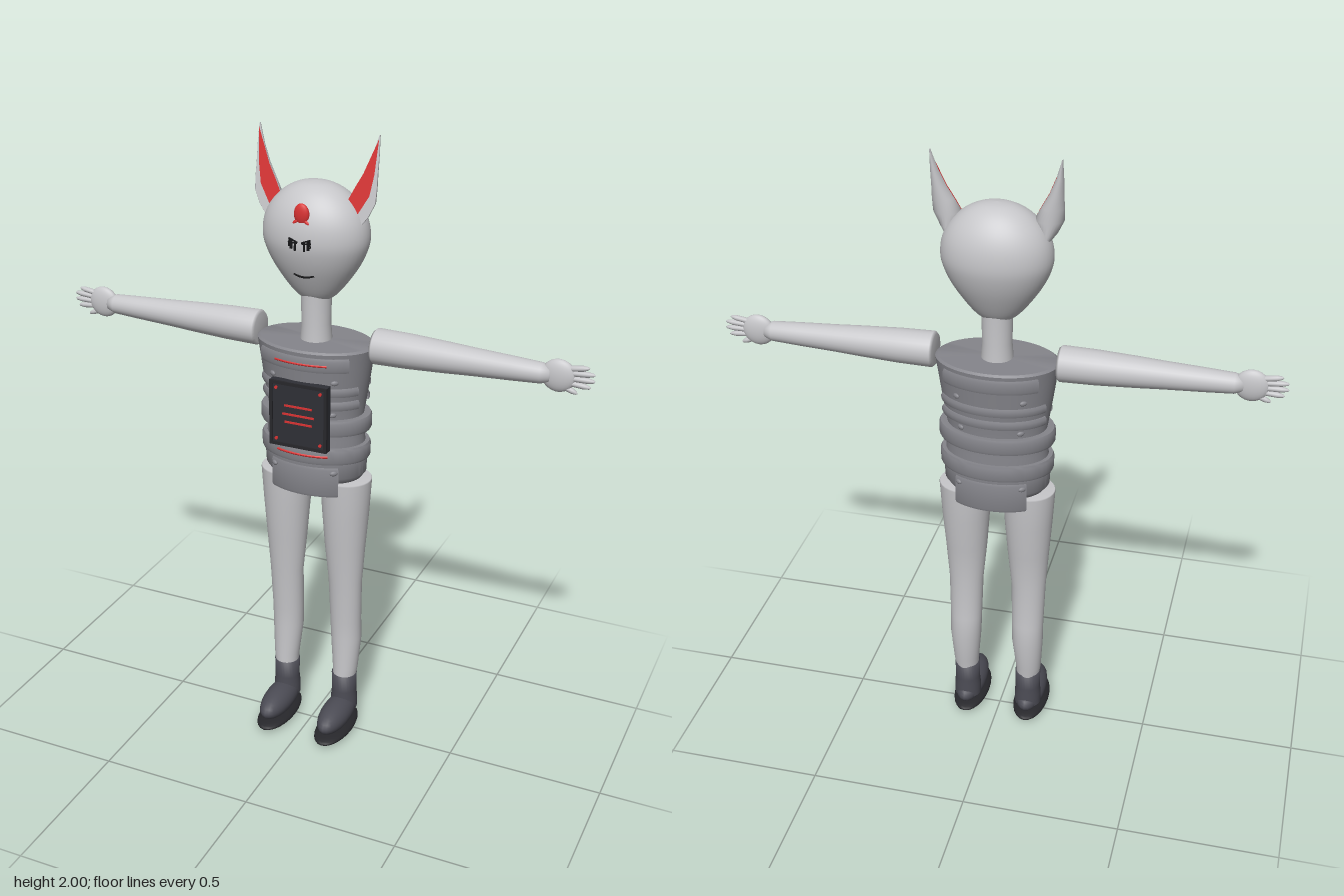
import * as THREE from 'three';
import { toCreasedNormals } from 'three/addons/utils/BufferGeometryUtils.js';

const mat = (name, color, side = THREE.FrontSide) => {
  const m = new THREE.MeshStandardMaterial({ color, side });
  m.name = name;
  return m;
};
const skin = mat('pale skin', 0xc6c6c9);
const suit = mat('grey suit', 0x85858b, THREE.DoubleSide);
const boot = mat('dark boot', 0x4c4c55);
const sole = mat('sole', 0x27272b);
const panelMat = mat('panel', 0x2f3036);
const red = mat('red', 0xd83232, THREE.DoubleSide);
const black = mat('black', 0x141416, THREE.DoubleSide);

const CZ = -0.035; // depth of the body axis
const DEPTH = 0.66; // torso depth relative to width

export function createModel() {
  const root = new THREE.Group();
  root.name = 'hornedFigure';

  const add = (name, geo, material, x = 0, y = 0, z = 0, parent = root) => {
    const m = new THREE.Mesh(geo, material);
    m.name = name;
    m.position.set(x, y, z);
    parent.add(m);
    return m;
  };
  const lathe = (pts, seg = 40, start = 0, length = Math.PI * 2) =>
    new THREE.LatheGeometry(pts.map(p => new THREE.Vector2(p[0], p[1])), seg, start, length);
  const ball = (rx, ry, rz) => new THREE.SphereGeometry(1, 24, 16).scale(rx, ry, rz);

  // Skin of elliptical rings; each section is [y, centreX, centreZ, halfX, halfZ]
  const loft = (sections, flatFront = false, seg = 28) => {
    const pos = [], idx = [];
    sections.forEach(([y, cx, cz, hx, hz], i) => {
      for (let j = 0; j < seg; j++) {
        const a = (j / seg) * Math.PI * 2;
        const dz = Math.sin(a);
        pos.push(cx + hx * Math.cos(a), y, cz + hz * (flatFront ? Math.min(0, dz) : dz));
        if (i === sections.length - 1) continue;
        const k = i * seg + j, n = i * seg + (j + 1) % seg;
        idx.push(k, k + seg, n, n, k + seg, n + seg);
      }
    });
    const g = new THREE.BufferGeometry();
    g.setAttribute('position', new THREE.Float32BufferAttribute(pos, 3));
    g.setIndex(idx);
    g.computeVertexNormals();
    return g;
  };

  // Head and neck
  const headCurve = new THREE.SplineCurve([[0, 1.49], [0.045, 1.5], [0.08, 1.53], [0.128, 1.595],
    [0.156, 1.65], [0.166, 1.695], [0.159, 1.745], [0.135, 1.79], [0.095, 1.828], [0.048, 1.85], [0, 1.856]]
    .map(p => new THREE.Vector2(...p)));
  const headPts = headCurve.getPoints(40).map(p => [Math.max(0, p.x), p.y]);
  add('head', lathe(headPts, 48).scale(1, 1, 0.72), skin, 0, 0, CZ);
  add('neck', lathe([[0.05, 1.35], [0.045, 1.42], [0.047, 1.52]], 28), skin, 0, 0, CZ);

  // Forehead gem with two small side lobes
  add('gem', ball(0.024, 0.032, 0.011), red, 0, 1.78, 0.069);
  for (const s of [1, -1]) {
    const lobe = add('gemLobe', ball(0.014, 0.006, 0.006), red, s * 0.018, 1.757, 0.071);
    lobe.rotation.z = -s * 0.6;
  }

  // Eyes with lashes and streaks, and a faint smile
  const strokes = [[0.006, 1.7, 0.034, 1.711, 0.004], [0.008, 1.697, 0.036, 1.7, 0.003],
    [0.014, 1.705, 0.015, 1.675, 0.005], [0.026, 1.708, 0.027, 1.68, 0.007], [0.032, 1.708, 0.034, 1.687, 0.003]];
  for (const s of [1, -1]) {
    const eye = new THREE.Group();
    eye.name = s > 0 ? 'leftEye' : 'rightEye';
    root.add(eye);
    for (const [x1, y1, x2, y2, w] of strokes) {
      const len = Math.hypot(x2 - x1, y2 - y1);
      const bar = add('eyeStroke', new THREE.BoxGeometry(len, w, 0.004), black,
        s * (x1 + x2) / 2, (y1 + y2) / 2, 0.085, eye);
      bar.rotation.z = s * Math.atan2(y2 - y1, x2 - x1);
    }
  }
  const smile = new THREE.QuadraticBezierCurve3(new THREE.Vector3(-0.032, 1.594, 0.053),
    new THREE.Vector3(0, 1.582, 0.062), new THREE.Vector3(0.032, 1.594, 0.053));
  add('mouth', new THREE.TubeGeometry(smile, 16, 0.003, 6), black);

  // Ears: flat-fronted tapering shells with red inner faces
  const earZ = y => -0.013 - (y - 1.78) * 0.17;
  for (const s of [1, -1]) {
    const rows = [[1.735, 0.14, 0.145], [1.77, 0.118, 0.172], [1.81, 0.106, 0.191], [1.85, 0.127, 0.192],
      [1.89, 0.149, 0.191], [1.94, 0.169, 0.191], [2.0, 0.187, 0.189]];
    const rings = rows.map(([y, a, b]) => [y, s * (a + b) / 2, earZ(y), (b - a) / 2, earZ(y) + 0.057]);
    add('ear', loft(rings, true), skin).material = skin;
    const inner = new THREE.Shape([[0.188, 1.99], [0.168, 1.94], [0.148, 1.89], [0.126, 1.85], [0.106, 1.81],
      [0.118, 1.77], [0.14, 1.775], [0.172, 1.83], [0.182, 1.89]].map(([x, y]) => new THREE.Vector2(s * x, y)));
    const g = new THREE.ShapeGeometry(inner), p = g.attributes.position;
    for (let i = 0; i < p.count; i++) p.setZ(i, earZ(p.getY(i)) + 0.003);
    g.computeVertexNormals();
    add('innerEar', g, red);
  }

  // Torso
  const torso = [[0, 0.9], [0.1, 0.905], [0.15, 0.925], [0.165, 0.945], [0.168, 1.0], [0.158, 1.07],
    [0.155, 1.14], [0.165, 1.2], [0.174, 1.26], [0.181, 1.31], [0.189, 1.362], [0.18, 1.368], [0, 1.37]];
  add('torso', toCreasedNormals(lathe(torso, 56).scale(1, 1, DEPTH), 0.6), suit, 0, 0, CZ);

  // Raised bands: full rings, or arcs facing front (0) or back (PI)
  const band = (name, y0, y1, r, half = Math.PI, facing = 0, material = suit) => {
    const b = Math.min(0.008, (y1 - y0) / 3);
    const pts = [[r - 0.03, y0], [r - 0.004, y0], [r, y0 + b], [r, y1 - b], [r - 0.004, y1], [r - 0.03, y1]];
    const g = lathe(pts, 48, facing - half, half * 2).scale(1, 1, DEPTH);
    return add(name, toCreasedNormals(g, 0.7), material, 0, 0, CZ);
  };
  band('waistBelt', 1.093, 1.143, 0.181);
  band('hipBelt', 0.997, 1.05, 0.178);
  for (const f of [0, Math.PI]) {
    band('chestBand', 1.305, 1.35, 0.194, 0.85, f);
    band('upperRib', 1.222, 1.25, 0.178, 1.15, f);
    band('lowerRib', 1.177, 1.205, 0.174, 1.2, f);
    band('hemFlap', 0.885, 0.985, 0.171, 0.72, f);
    // Studs on the ribs and hips
    for (const s of [1, -1]) for (const y of [1.27, 1.16, 0.968]) {
      const a = f + s * 0.62, r = y < 1 ? 0.172 : y > 1.2 ? 0.176 : 0.159;
      add('stud', ball(0.012, 0.008, 0.006), suit, Math.sin(a) * r, y, CZ + Math.cos(a) * r * DEPTH).rotation.y = a;
    }
  }
  band('chestStripe', 1.323, 1.332, 0.1965, 0.45, 0, red);
  band('hipStripe', 1.02, 1.029, 0.181, 0.49, 0, red);

  // Chest panel with frame, red lines and corner bolts
  add('chestPanel', new THREE.BoxGeometry(0.19, 0.212, 0.024), panelMat, 0, 1.16, 0.086);
  for (const s of [1, -1]) {
    add('panelFrameSide', new THREE.BoxGeometry(0.01, 0.212, 0.008), sole, s * 0.09, 1.16, 0.099);
    add('panelFrameEdge', new THREE.BoxGeometry(0.18, 0.01, 0.008), sole, 0, 1.16 + s * 0.101, 0.099);
    for (const t of [1, -1])
      add('panelBolt', new THREE.CylinderGeometry(0.005, 0.005, 0.006, 10).rotateX(Math.PI / 2), red,
        s * 0.073, 1.16 + t * 0.084, 0.1);
  }
  [[1.189, 0.09], [1.161, 0.105], [1.135, 0.09]].forEach(([y, w]) =>
    add('panelLine', new THREE.BoxGeometry(w, 0.006, 0.004), red, 0, y, 0.0995));

  for (const s of [1, -1]) {
    const side = s > 0 ? 'left' : 'right';

    // Arm and hand
    const arm = lathe([[0, 0.188], [0.048, 0.188], [0.055, 0.196], [0.053, 0.3], [0.047, 0.42],
      [0.042, 0.5], [0.036, 0.62], [0.031, 0.705], [0.022, 0.73], [0, 0.735]], 28);
    add(side + 'Arm', arm.rotateZ(-s * Math.PI / 2), skin, 0, 1.37, -0.04);
    const hand = new THREE.Group();
    hand.name = side + 'Hand';
    hand.position.z = -0.042;
    root.add(hand);
    add('palm', ball(0.051, 0.05, 0.02), skin, s * 0.753, 1.37, 0, hand);
    const fingers = [[0.78, 1.395, 0.842, 1.405], [0.785, 1.382, 0.86, 1.387], [0.785, 1.367, 0.861, 1.367],
      [0.78, 1.353, 0.85, 1.346], [0.755, 1.345, 0.812, 1.322]];
    for (const [x1, y1, x2, y2] of fingers) {
      const len = Math.hypot(x2 - x1, y2 - y1);
      const f = add('finger', lathe([[0, -len / 2], [0.009, -len / 2], [0.0085, len * 0.2], [0.005, len * 0.42], [0, len / 2]], 10),
        skin, s * (x1 + x2) / 2, (y1 + y2) / 2, 0, hand);
      f.rotation.z = s * (Math.atan2(y2 - y1, x2 - x1) - Math.PI / 2);
    }

    // Leg
    const leg = [[0.17, 0.105, -0.033, 0.037, 0.04], [0.22, 0.107, -0.037, 0.042, 0.042],
      [0.33, 0.105, -0.047, 0.051, 0.048], [0.4, 0.104, -0.043, 0.052, 0.045], [0.55, 0.104, -0.035, 0.056, 0.046],
      [0.68, 0.102, -0.035, 0.067, 0.058], [0.8, 0.102, -0.037, 0.076, 0.071], [0.916, 0.102, -0.037, 0.083, 0.078],
      [0.92, 0.102, -0.037, 0.081, 0.076], [0.92, 0.102, -0.037, 0, 0]];
    add(side + 'Leg', loft(leg.map(([y, x, ...r]) => [y, s * x, ...r])), skin);

    // Boot
    const foot = new THREE.Group();
    foot.name = side + 'Boot';
    foot.position.x = s * 0.105;
    root.add(foot);
    add('ankle', lathe([[0.044, 0.06], [0.044, 0.1], [0.041, 0.13], [0.042, 0.192], [0, 0.192]], 28), boot, 0, 0, -0.033, foot);
    add('upper', ball(0.049, 0.046, 0.12), boot, 0, 0.066, 0.028, foot);
    add('sole', ball(0.058, 0.018, 0.127), sole, 0, 0.018, 0.032, foot);
  }
  return root;
}
